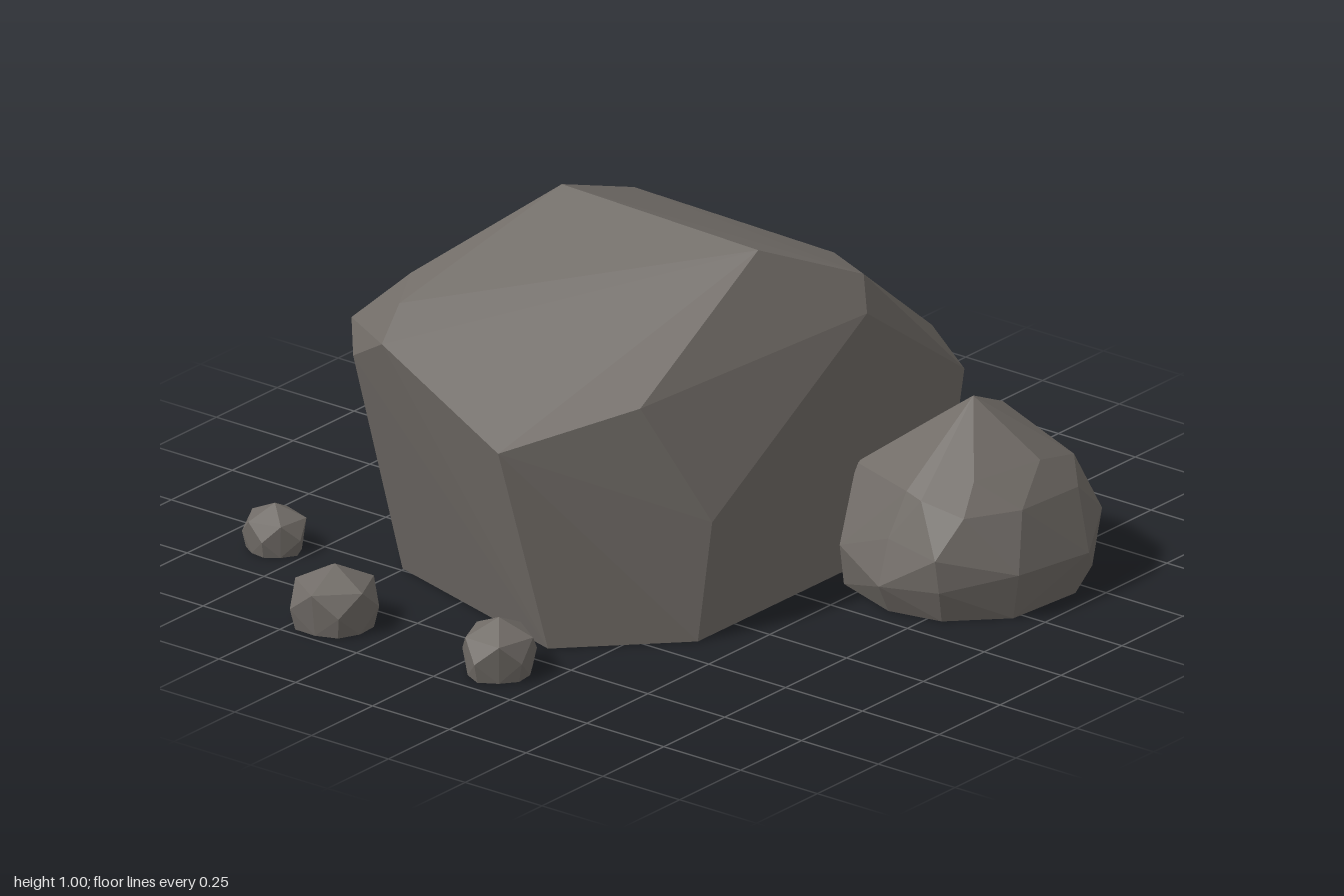
import * as THREE from 'three';
import { ConvexGeometry } from 'three/addons/geometries/ConvexGeometry.js';

export function createModel() {
  const group = new THREE.Group();
  const stone = new THREE.MeshStandardMaterial({ color: 0x716c67, flatShading: true });
  stone.name = 'stone grey';

  // A faceted rock is the hull of its corner points
  function addRock(name, corners) {
    const points = corners.map((c) => new THREE.Vector3(...c));
    const mesh = new THREE.Mesh(new ConvexGeometry(points), stone);
    mesh.name = name;
    group.add(mesh);
  }

  // Large boulder
  addRock('mainBoulder', [
    // crown
    [-0.28, 1, 0.12], [0.28, 0.93, 0.02], [0.425, 0.82, -0.23], [0.46, 0.73, -0.2],
    [-0.02, 0.62, -0.67], [-0.6, 0.68, -0.58],
    // front brow and chipped shoulder
    [0.04, 0.555, 0.785], [0.265, 0.64, 0.485], [0.4, 0.32, 0.36], [-0.39, 0.725, 0.72],
    [-0.47, 0.83, 0.5], [-0.42, 0.795, 0.61], [-0.6, 0.7, 0.58], [-0.535, 0.635, 0.655],
    // left flank
    [-0.96, 0.33, -0.2], [-0.985, 0.13, -0.32], [-0.85, 0.42, -0.545],
    // back
    [-0.8, 0.42, -0.645], [-0.71, 0.32, -0.71], [0.235, 0.46, -0.75], [0.42, 0.42, -0.65],
    // base
    [0.115, 0, 0.675], [-0.505, 0, 0.49], [-0.94, 0, -0.25], [-0.86, 0, -0.48],
    [0.39, 0, -0.6], [0.385, 0, 0.4],
  ]);

  // Medium rock on the side
  addRock('sideRock', [
    // top and upper ring
    [0.675, 0.505, -0.365], [0.865, 0.365, -0.4], [0.8, 0.35, -0.21], [0.66, 0.32, -0.11],
    [0.41, 0.3, -0.22], [0.41, 0.32, -0.56], [0.6, 0.4, -0.58], [0.84, 0.32, -0.57],
    // shoulders
    [0.715, 0.31, -0.1], [0.83, 0.28, -0.13], [0.8, 0.18, -0.05], [0.64, 0.2, -0.06],
    [0.925, 0.28, -0.48], [0.91, 0.28, -0.27], [0.7, 0.29, -0.655],
    // widest ring
    [0.4, 0.2, -0.59], [0.535, 0.24, -0.69], [0.695, 0.17, -0.715], [0.88, 0.16, -0.635],
    [0.98, 0.12, -0.455], [0.95, 0.13, -0.205], [0.805, 0.09, -0.06], [0.64, 0.08, -0.02],
    [0.45, 0.12, -0.1],
    // base
    [0.42, 0, -0.6], [0.56, 0, -0.67], [0.71, 0, -0.7], [0.86, 0, -0.62], [0.94, 0, -0.45],
    [0.92, 0, -0.22], [0.79, 0, -0.09], [0.64, 0, -0.06], [0.44, 0, -0.13],
  ]);

  // Pebbles: x, z, radius, height, turn
  const pebbles = [
    [-0.625, -0.88, 0.12, 0.175, 0.3],
    [-0.85, -0.7, 0.105, 0.13, 1.1],
    [-0.845, 0.585, 0.084, 0.125, 0.7],
    [-0.415, 0.88, 0.12, 0.165, 0.2],
    [0.11, 0.87, 0.102, 0.15, 0.9],
  ];
  pebbles.forEach(([x, z, r, h, turn], n) => {
    const corners = [[x, h, z]];
    for (let i = 0; i < 5; i++) {
      const a = turn + (i * Math.PI * 2) / 5;
      const wobble = 1 + 0.05 * Math.sin(i * 2.7 + n * 1.9);
      const add = (angle, radius, y) =>
        corners.push([x + Math.cos(angle) * radius, y, z + Math.sin(angle) * radius]);
      add(a, r * 0.92 * wobble, h * 0.7);
      add(a + Math.PI / 5, r * wobble, h * 0.35);
      add(a + Math.PI / 5, r * 0.88 * wobble, 0);
      add(a, r * 0.82, 0);
    }
    addRock('pebble' + (n + 1), corners);
  });

  return group;
}
